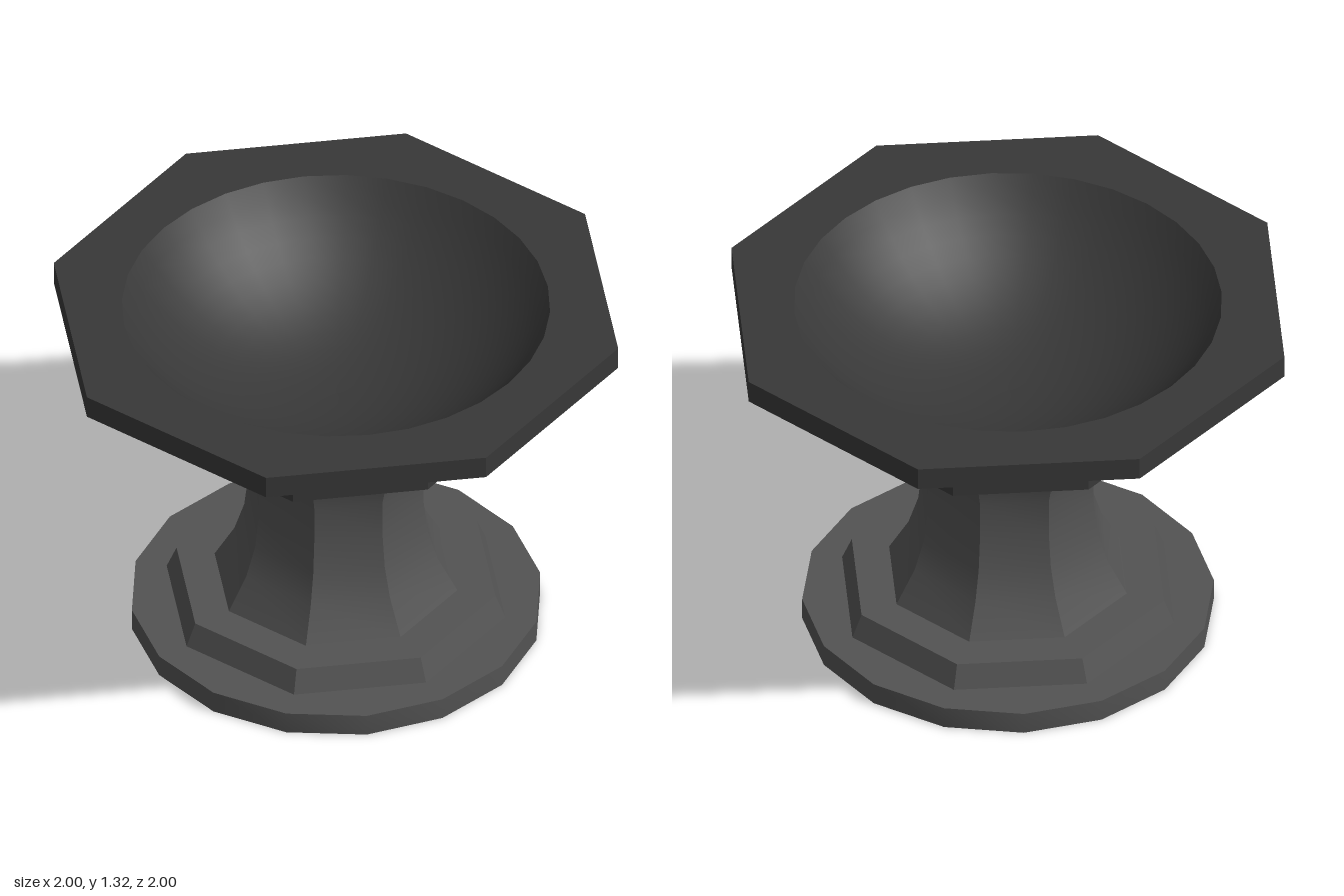
import * as THREE from 'three';
import { toCreasedNormals } from 'three/addons/utils/BufferGeometryUtils.js';

const stoneLight = new THREE.MeshStandardMaterial({ color: 0x535353 });
const stoneDark = new THREE.MeshStandardMaterial({ color: 0x383838 });

const toPoints = (pairs) => pairs.map(([r, y]) => new THREE.Vector2(r, y));

// Faceted turned solid: profile runs bottom to top, edges above the crease angle stay sharp
function turned(name, profile, sides, material, crease = 0.55) {
  const geometry = new THREE.LatheGeometry(toPoints(profile), sides);
  const mesh = new THREE.Mesh(toCreasedNormals(geometry, crease), material);
  mesh.name = name;
  return mesh;
}

// Regular polygon corners, first corner on the x axis
function ring(radius, sides) {
  return Array.from({ length: sides }, (_, i) => {
    const a = (i / sides) * Math.PI * 2;
    return new THREE.Vector2(Math.cos(a) * radius, Math.sin(a) * radius);
  });
}

export function createModel() {
  const model = new THREE.Group();
  model.name = 'pedestalBasin';

  // Foot: round plinth and chamfered octagonal step
  model.add(turned('plinth', [[0, 0], [0.71, 0], [0.71, 0.081], [0, 0.081]], 16, stoneLight));
  model.add(turned('footStep', [[0.6, 0.081], [0.565, 0.166], [0, 0.166]], 8, stoneLight));

  // Waisted octagonal column
  model.add(turned('column', [
    [0.43, 0.166], [0.36, 0.29], [0.325, 0.4], [0.31, 0.53],
    [0.31, 0.67], [0.345, 0.8], [0.41, 0.927],
  ], 8, stoneLight));

  // Basin: collar, flared underside and upright rim
  const basin = new THREE.Group();
  basin.name = 'basin';
  basin.add(turned('collar', [[0, 0.927], [0.612, 0.927], [0.612, 0.967]], 8, stoneDark, 0.2));
  basin.add(turned('basinBody', [[0.612, 0.967], [1, 1.237], [1, 1.321]], 8, stoneDark, 0.2));

  // Flat octagonal top with a round opening
  const top = new THREE.Shape(ring(1, 8));
  const bowlRadius = 0.737, bowlSides = 32, rimY = 1.321;
  top.holes.push(new THREE.Path(ring(bowlRadius, bowlSides)));
  const rim = new THREE.Mesh(new THREE.ShapeGeometry(top).rotateX(-Math.PI / 2), stoneDark);
  rim.name = 'rimTop';
  rim.position.y = rimY;
  basin.add(rim);

  // Smooth hollow: a spherical cap, from the rim down to the centre
  const depth = 0.38;
  const sphereRadius = (bowlRadius ** 2 + depth ** 2) / (2 * depth);
  const edgeAngle = Math.asin(bowlRadius / sphereRadius);
  const cap = [];
  for (let i = 0; i <= 12; i++) {
    const a = edgeAngle * (1 - i / 12);
    cap.push([sphereRadius * Math.sin(a), rimY - depth + sphereRadius * (1 - Math.cos(a))]);
  }
  const bowl = new THREE.Mesh(new THREE.LatheGeometry(toPoints(cap), bowlSides), stoneDark);
  bowl.name = 'bowlHollow';
  basin.add(bowl);

  model.add(basin);
  return model;
}
